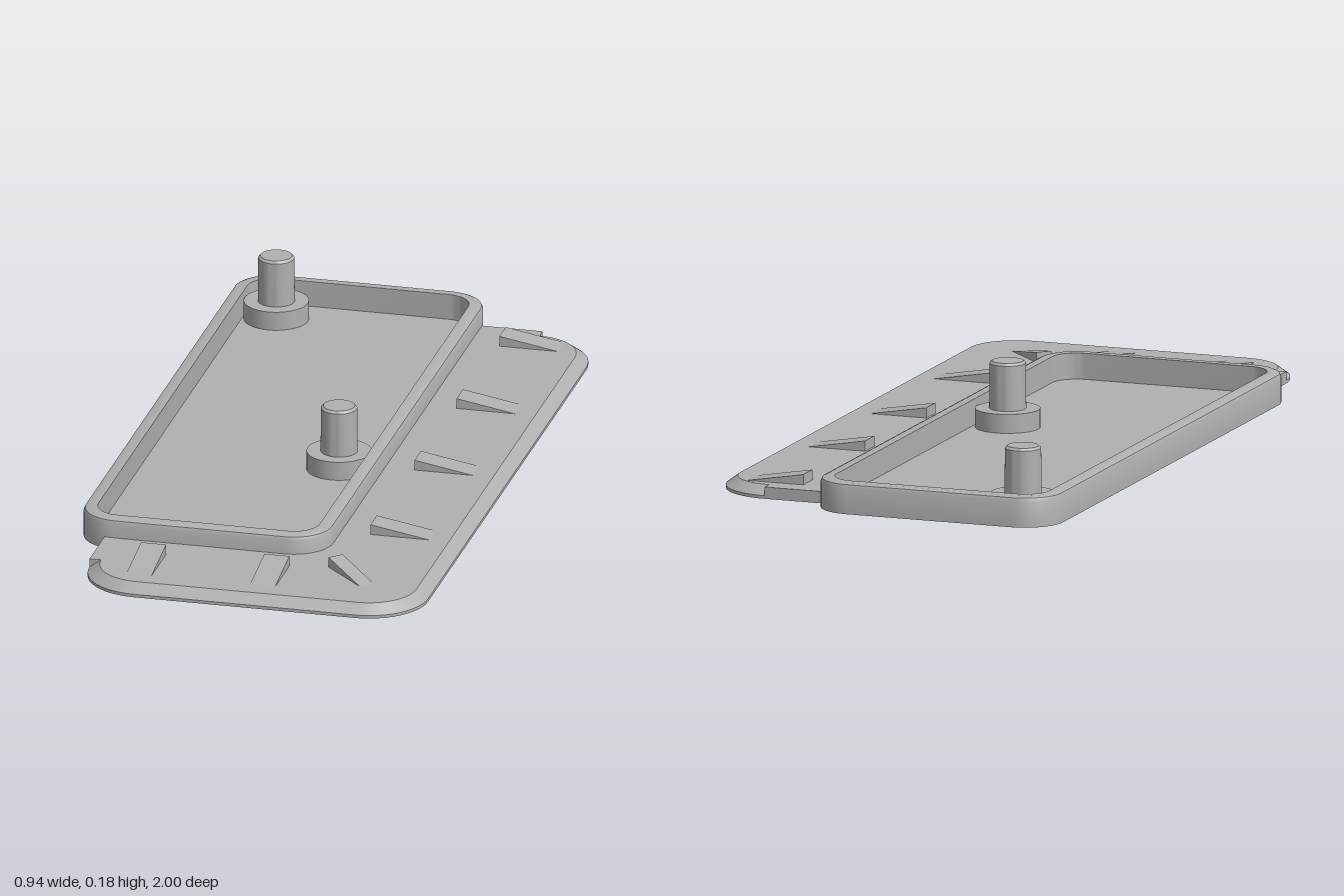
import * as THREE from 'three';
import { toCreasedNormals } from 'three/addons/utils/BufferGeometryUtils.js';

const grey = new THREE.MeshStandardMaterial({ color: 0xb0b0b0 });
grey.name = 'grey';

// Points of an arc around (x, z), counter-clockwise seen from above
function arc(x, z, r, start) {
  return Array.from({ length: 13 }, (_, i) => {
    const a = start + (i / 12) * Math.PI / 2;
    return new THREE.Vector2(x + r * Math.cos(a), -z + r * Math.sin(a));
  });
}
const at = (x, z) => new THREE.Vector2(x, -z);

// Closed solid through stacked outlines [points, height], capped at both ends
function loft(layers) {
  const pos = [];
  const tri = (...corners) => corners.forEach(([l, j]) => {
    const p = layers[l][0][j];
    pos.push(p.x, layers[l][1], -p.y);
  });
  const n = layers[0][0].length, last = layers.length - 1;
  for (let l = 0; l < last; l++) {
    for (let j = 0; j < n; j++) {
      const k = (j + 1) % n;
      tri([l, j], [l, k], [l + 1, k]);
      tri([l, j], [l + 1, k], [l + 1, j]);
    }
  }
  for (const [a, b, c] of THREE.ShapeUtils.triangulateShape(layers[0][0], [])) tri([0, a], [0, c], [0, b]);
  for (const [a, b, c] of THREE.ShapeUtils.triangulateShape(layers[last][0], [])) tri([last, a], [last, b], [last, c]);
  const g = new THREE.BufferGeometry();
  g.setAttribute('position', new THREE.Float32BufferAttribute(pos, 3));
  return toCreasedNormals(g, 0.5);
}

// Rounded rectangle of the tray, inset by i
function trayOutline(i) {
  const r = 0.1 - i, x0 = -0.37, x1 = 0.065, z0 = -0.9, z1 = 0.6;
  return [
    ...arc(x0, z1, r, Math.PI), ...arc(x1, z1, r, Math.PI * 1.5),
    ...arc(x1, z0, r, 0), ...arc(x0, z0, r, Math.PI / 2),
  ];
}

// L-shaped flange; only its free rounded edge is inset by i
function flangeOutline(i) {
  const r = 0.15 - i;
  return [
    at(-0.395, 0.67), at(-0.395, 0.85),
    ...arc(-0.245, 0.85, r, Math.PI), ...arc(0.32, 0.85, r, Math.PI * 1.5),
    ...arc(0.32, -0.75, r, 0),
    at(0.32, -0.9), at(0.13, -0.9), at(0.13, 0.67),
  ];
}

// Wedge whose tall end is at the origin and which slopes down along +x
function wedge(width) {
  const s = new THREE.Shape([
    new THREE.Vector2(0, -0.01), new THREE.Vector2(0.15, -0.01),
    new THREE.Vector2(0.15, 0), new THREE.Vector2(0, 0.026),
  ]);
  return new THREE.ExtrudeGeometry(s, { depth: width, bevelEnabled: false }).translate(0, 0, -width / 2);
}

export function createModel() {
  const model = new THREE.Group();
  model.name = 'coverPlate';
  const add = (name, geometry, x = 0, y = 0, z = 0, turn = 0) => {
    const m = new THREE.Mesh(geometry, grey);
    m.name = name;
    m.position.set(x, y, z);
    m.rotation.y = turn;
    model.add(m);
  };

  // Open tray with a bevelled rim
  add('tray', loft([
    [trayOutline(0), 0], [trayOutline(0), 0.065], [trayOutline(0.004), 0.074],
    [trayOutline(0.013), 0.078], [trayOutline(0.035), 0.078], [trayOutline(0.035), 0.012],
  ]));

  // Flange with a sloping edge
  add('flange', loft([
    [flangeOutline(0), 0], [flangeOutline(0), 0.008], [flangeOutline(0.03), 0.03],
  ]));

  // Pegs on round bosses
  const peg = toCreasedNormals(new THREE.LatheGeometry([
    [0.081, 0.005], [0.081, 0.06], [0.046, 0.06], [0.045, 0.174], [0.039, 0.18], [0, 0.18],
  ].map(([r, y]) => new THREE.Vector2(r, y)), 40), 0.5);
  for (const [x, z] of [[-0.352, -0.867], [0.045, 0.068]]) add('peg', peg, x, 0, z);

  // Wedges along the side, the front and the corner
  const rib = wedge(0.064);
  for (const z of [-0.81, -0.38, 0.045, 0.49]) add('sideWedge', rib, 0.24, 0.03, z);
  for (const x of [-0.25, 0.065]) add('frontWedge', rib, x, 0.03, 0.775, -Math.PI / 2);
  add('cornerWedge', wedge(0.04), 0.207, 0.03, 0.745, -Math.PI / 4);

  return model;
}
